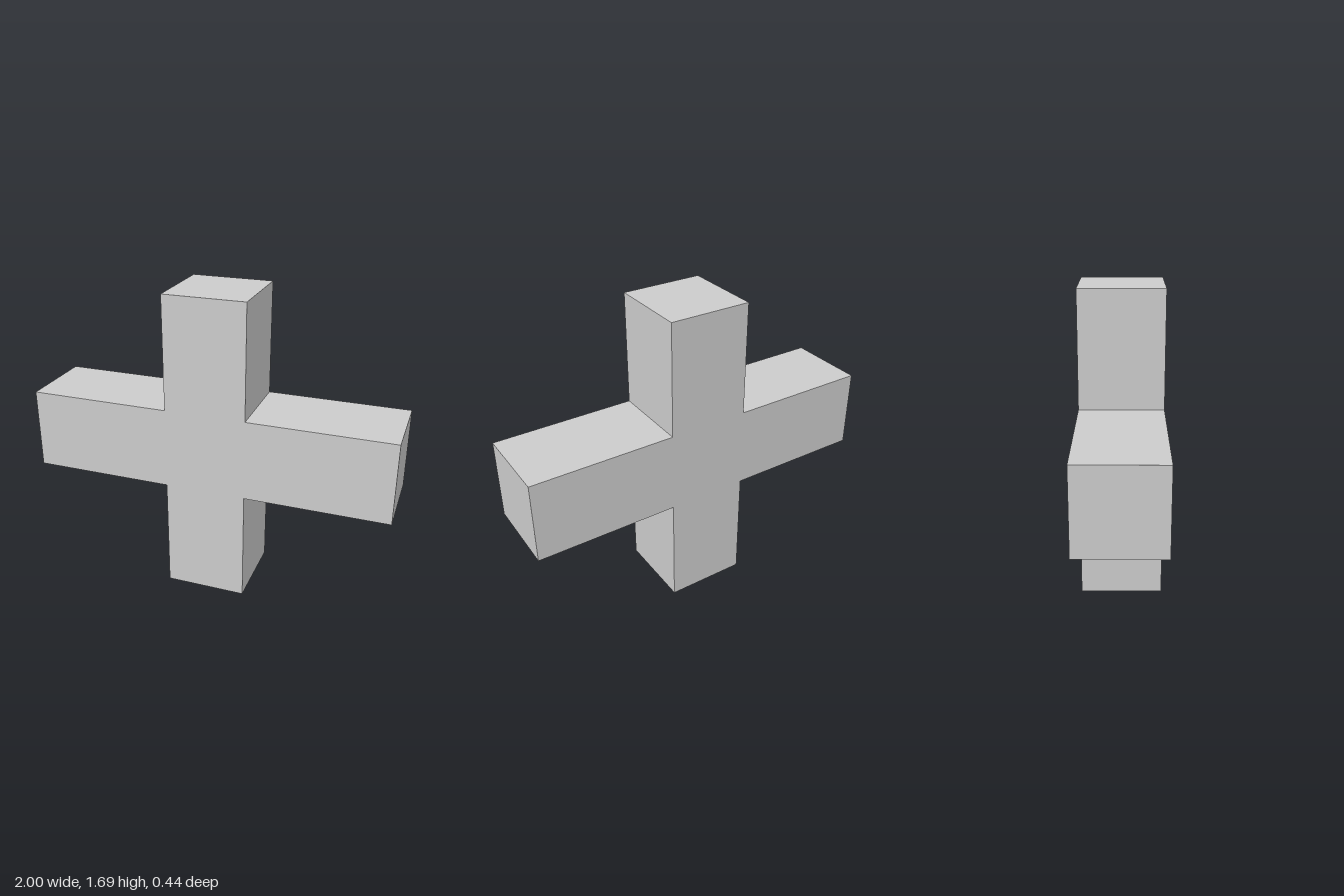
import * as THREE from 'three';

const HALF = 0.222;     // half thickness of every bar
const REACH = 1;        // half length of the horizontal bar
const HEIGHT = 1.686;   // length of the upright bar

export function createModel() {
  const group = new THREE.Group();
  group.name = 'cross';

  // Plus-shaped outline, one notched corner per quadrant, counter-clockwise
  const h = HEIGHT / 2;
  const outline = [
    [REACH, -HALF], [REACH, HALF], [HALF, HALF],
    [HALF, h], [-HALF, h], [-HALF, HALF],
    [-REACH, HALF], [-REACH, -HALF], [-HALF, -HALF],
    [-HALF, -h], [HALF, -h], [HALF, -HALF],
  ].map(([x, y]) => new THREE.Vector2(x, y + h));

  // Solid body with square section arms
  const geometry = new THREE.ExtrudeGeometry(new THREE.Shape(outline), {
    depth: 2 * HALF,
    bevelEnabled: false,
  });
  geometry.translate(0, 0, -HALF);

  const body = new THREE.Mesh(
    geometry,
    new THREE.MeshStandardMaterial({ color: 0xcccccc, flatShading: true })
  );
  body.name = 'crossBody';
  group.add(body);
  return group;
}
